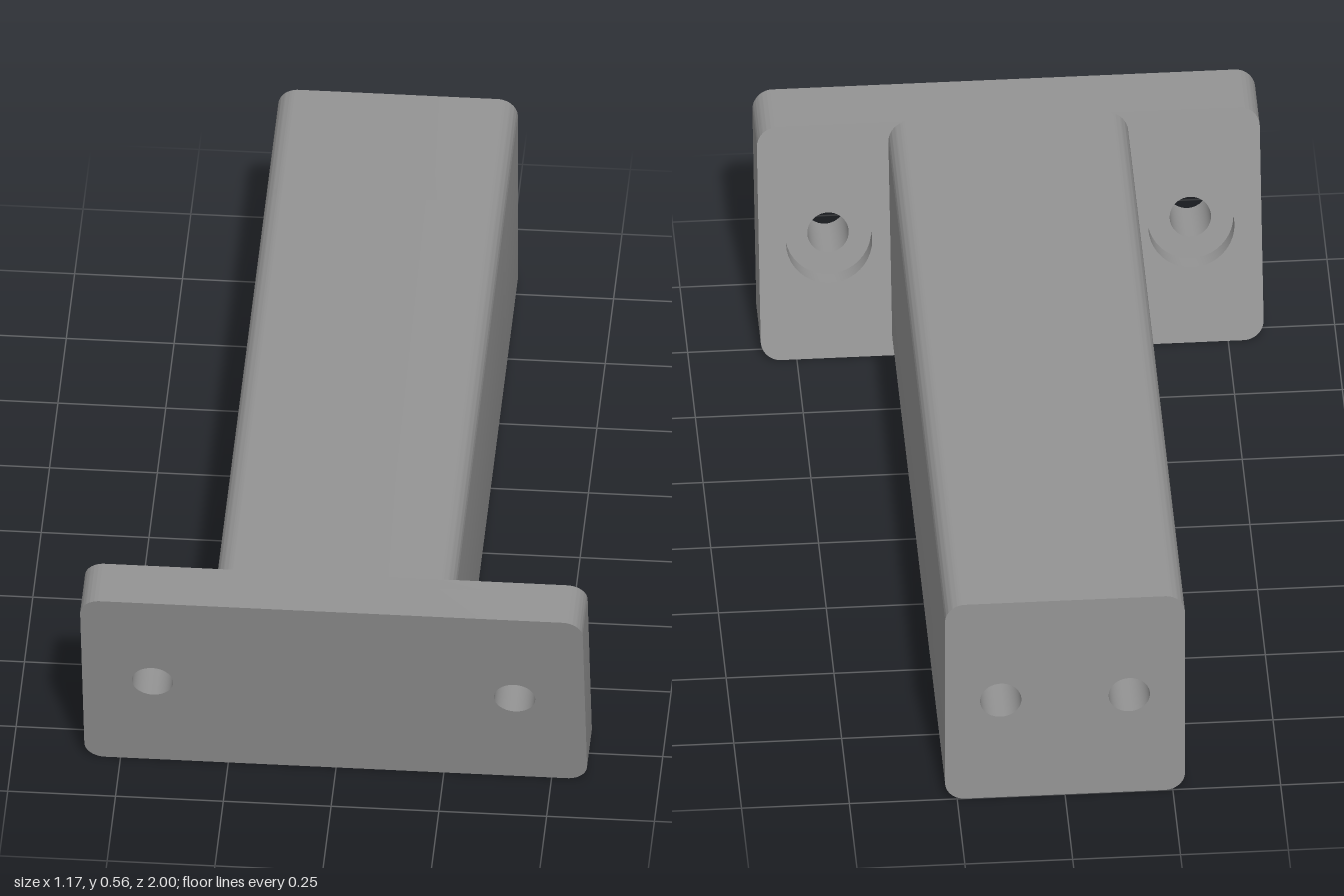
import * as THREE from 'three';
import { toCreasedNormals } from 'three/addons/utils/BufferGeometryUtils.js';

const H = 0.562;                        // overall height
const SLOPE = Math.tan(Math.PI / 12);   // plate leans forward 15 degrees
const PLATE_BACK = 0.705, PLATE_FRONT = 0.85; // z of the plate faces at y = 0
const BORE_DEPTH = 0.035, SOCKET_DEPTH = 0.4;

const lean = (z0) => (y) => z0 + y * SLOPE;
const upright = (z0) => () => z0;

// Rounded rectangle standing on y = 0, with a mirrored pair of round holes
function outline(width, r, holeX, holeR) {
  const s = new THREE.Shape(), w = width / 2;
  s.moveTo(w - r, 0);
  s.absarc(w - r, r, r, -Math.PI / 2, 0);
  s.absarc(w - r, H - r, r, 0, Math.PI / 2);
  s.absarc(-w + r, H - r, r, Math.PI / 2, Math.PI);
  s.absarc(-w + r, r, r, Math.PI, Math.PI * 1.5);
  if (holeR) {
    for (const side of [-1, 1]) {
      s.holes.push(new THREE.Path().absarc(side * holeX, H / 2, holeR, 0, Math.PI * 2, true));
    }
  }
  return s;
}

// Prism along z whose two ends follow the given z = f(y) rules
function prism(name, shape, back, front, material) {
  const geo = new THREE.ExtrudeGeometry(shape, { depth: 1, bevelEnabled: false, curveSegments: 20 });
  const p = geo.attributes.position;
  for (let i = 0; i < p.count; i++) {
    const y = p.getY(i);
    p.setZ(i, p.getZ(i) > 0.5 ? front(y) : back(y));
  }
  const mesh = new THREE.Mesh(toCreasedNormals(geo, 0.5), material);
  mesh.name = name;
  return mesh;
}

export function createModel() {
  const grey = new THREE.MeshStandardMaterial({ color: 0x949494 });
  grey.name = 'grey';
  const model = new THREE.Group();
  model.name = 'mountingBracket';

  // Leaning plate: screw holes in front, wider counterbores behind
  const step = lean(PLATE_BACK + BORE_DEPTH);
  const plate = new THREE.Group();
  plate.name = 'plate';
  plate.add(
    prism('plateFront', outline(1.166, 0.047, 0.42, 0.048), step, lean(PLATE_FRONT), grey),
    prism('plateCounterbores', outline(1.166, 0.047, 0.42, 0.1), lean(PLATE_BACK), step, grey),
  );

  // Square arm: blind screw sockets in the rear end, mitred to meet the plate
  const socketEnd = upright(-1 + SOCKET_DEPTH);
  const arm = new THREE.Group();
  arm.name = 'arm';
  arm.add(
    prism('armRear', outline(0.556, 0.047, 0.149, 0.048), upright(-1), socketEnd, grey),
    prism('armFront', outline(0.556, 0.047), socketEnd, lean(PLATE_BACK), grey),
  );

  model.add(plate, arm);
  return model;
}
